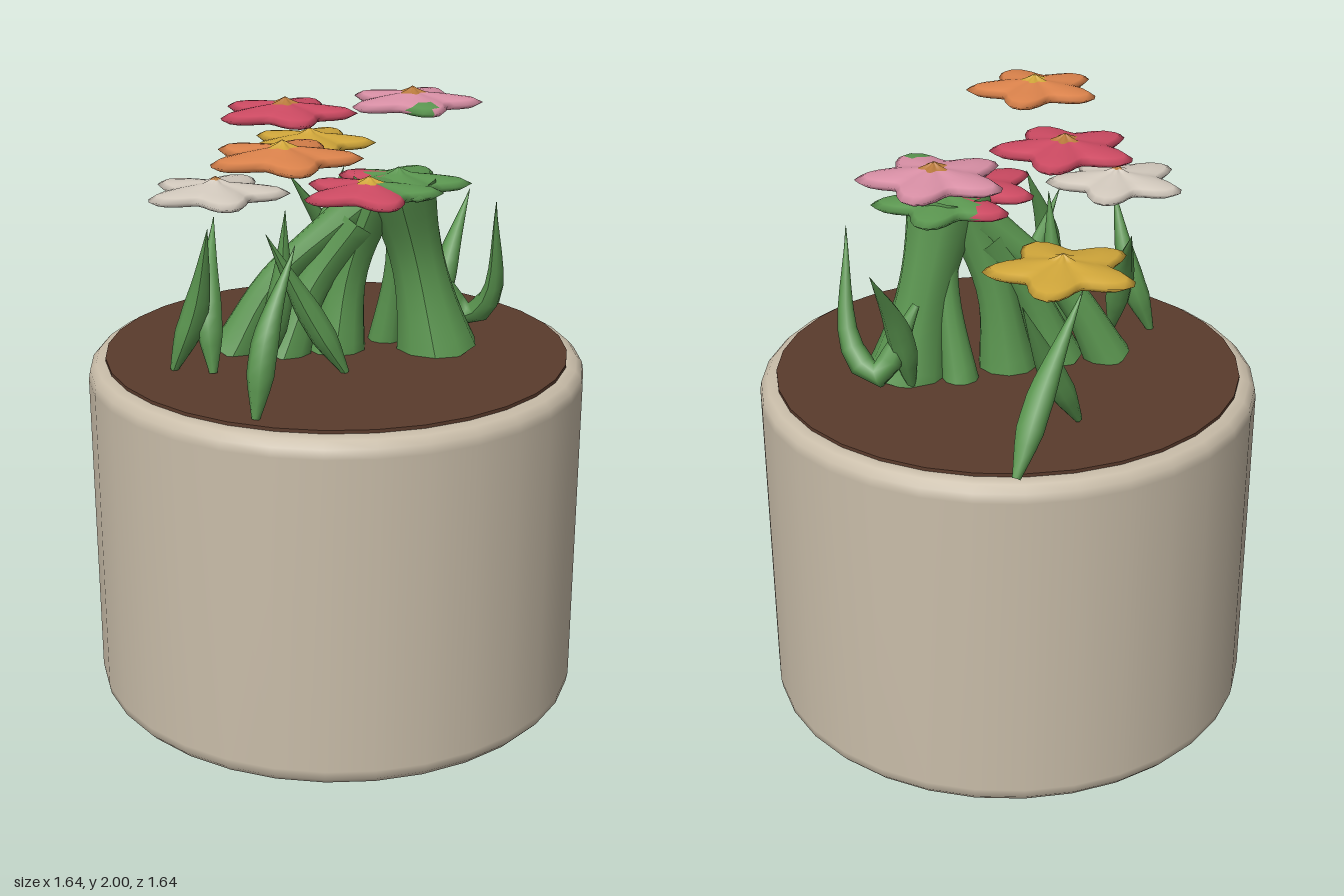
import * as THREE from 'three';

const mat = (name, color) => {
  const m = new THREE.MeshStandardMaterial({ color });
  m.name = name;
  return m;
};
const M = {
  cream: mat('pot cream', 0xc9bda9), soil: mat('soil brown', 0x5a3b2c),
  green: mat('leaf green', 0x5b9650), yellow: mat('petal yellow', 0xd0a63a),
  orange: mat('petal orange', 0xda824b), red: mat('petal red', 0xcc4a62),
  pink: mat('petal pink', 0xd88fa5), white: mat('petal white', 0xd2c9bd),
  ochre: mat('centre ochre', 0xb87a3c),
};

function mesh(name, geometry, material) {
  const m = new THREE.Mesh(geometry, material);
  m.name = name;
  return m;
}

// Tube along a curve whose thickness follows profile(t)
function taperedTube(points, radius, profile, segments = 12, sides = 8) {
  const curve = new THREE.CatmullRomCurve3(points.map(p => new THREE.Vector3(...p)));
  const geo = new THREE.TubeGeometry(curve, segments, radius, sides);
  const pos = geo.attributes.position, v = new THREE.Vector3();
  for (let i = 0; i <= segments; i++) {
    const c = curve.getPointAt(i / segments), s = profile(i / segments);
    for (let j = 0; j <= sides; j++) {
      const k = i * (sides + 1) + j;
      v.fromBufferAttribute(pos, k).sub(c).multiplyScalar(s).add(c);
      pos.setXYZ(k, v.x, v.y, v.z);
    }
  }
  geo.computeVertexNormals();
  return geo;
}

// Five-petal domed flower; paint(x, z, inCentre) picks the material of each face
const RINGS = [[0, 0.068], [0.08, 0.058], [0.2, 0.047], [0.6, 0.037], [0.88, 0.028], [1, 0.015], [0.88, 0], [0, 0]];
function flower(name, x, y, z, paint, centreRings = 2) {
  const n = 40, pos = [], buckets = new Map();
  for (const [s, h] of RINGS) {
    for (let j = 0; j < n; j++) {
      const a = j / n * Math.PI * 2;
      const r = s * (0.19 + 0.045 * Math.cos(5 * a));
      pos.push(r * Math.cos(a), h, r * Math.sin(a));
    }
  }
  const addFace = (ring, ...ids) => {
    const mid = k => (pos[ids[0] * 3 + k] + pos[ids[1] * 3 + k] + pos[ids[2] * 3 + k]) / 3;
    const m = paint(x + mid(0), z + mid(2), ring < centreRings);
    if (!buckets.has(m)) buckets.set(m, []);
    buckets.get(m).push(...ids);
  };
  for (let i = 0; i < RINGS.length - 1; i++) {
    for (let j = 0; j < n; j++) {
      const k = (j + 1) % n, a = i * n, b = a + n;
      if (i > 0) addFace(i, a + j, a + k, b + k);
      if (i < RINGS.length - 2) addFace(i, a + j, b + k, b + j);
    }
  }
  const geo = new THREE.BufferGeometry(), index = [], materials = [];
  geo.setAttribute('position', new THREE.Float32BufferAttribute(pos, 3));
  for (const [m, ids] of buckets) {
    geo.addGroup(index.length, ids.length, materials.length);
    index.push(...ids);
    materials.push(m);
  }
  geo.setIndex(index);
  geo.computeVertexNormals();
  const f = mesh(name, geo, materials);
  f.position.set(x, y, z);
  return f;
}

export function createModel() {
  const group = new THREE.Group();

  // Pot with rounded lower and upper edges
  const profile = [[0, 0], [0.77, 0], [0.795, 0.008], [0.815, 0.03], [0.82, 0.06],
    [0.82, 1.11], [0.815, 1.14], [0.795, 1.162], [0.765, 1.17], [0, 1.17]];
  group.add(mesh('pot', new THREE.LatheGeometry(profile.map(p => new THREE.Vector2(...p)), 32), M.cream));

  const soil = mesh('soil', new THREE.CylinderGeometry(0.763, 0.763, 0.03, 32), M.soil);
  soil.position.y = 1.166;
  group.add(soil);

  // Flower heads, in a low and a high tier
  const plain = (petal, centre) => (x, z, inCentre) => inCentre ? centre : petal;
  const half = (x, z) => x < 0.11 + Math.max(0, z - 0.15) * 0.9 ? M.red : M.green;
  const heads = [
    ['yellowFlower', -0.12, 1.73, -0.58, plain(M.yellow, M.yellow)],
    ['whiteFlower', -0.37, 1.73, 0.18, plain(M.white, M.ochre), 1],
    ['orangeFlower', -0.13, 1.93, 0.57, plain(M.orange, M.yellow)],
    ['redFlower', -0.17, 1.93, -0.09, plain(M.red, M.ochre)],
    ['pinkFlower', 0.24, 1.926, -0.32, (x, z, c) =>
      c ? M.ochre : Math.hypot(x - 0.27, z + 0.14) < 0.045 ? M.green : M.pink],
    ['lowRedFlower', 0.11, 1.73, 0.155, (x, z, c) => c ? M.yellow : half(x, z)],
    ['lowGreenFlower', 0.2, 1.727, 0.01, half],
  ];
  for (const h of heads) group.add(flower(...h));

  // Pointed leaves: base, optional bends, tip
  const leaves = [
    [[0.03, 1.19, -0.81], [-0.05, 1.38, -0.67], [-0.19, 1.65, -0.5]],
    [[-0.19, 1.19, -0.44], [-0.1, 1.38, -0.5], [0, 1.65, -0.62]],
    [[-0.21, 1.18, 0.68], [-0.18, 1.42, 0.62], [-0.1, 1.67, 0.52]],
    [[0.04, 1.18, 0.25], [-0.08, 1.4, 0.28], [-0.2, 1.66, 0.36]],
    [[-0.51, 1.18, 0.25], [-0.43, 1.4, 0.26], [-0.38, 1.67, 0.34]],
    [[-0.38, 1.18, 0.28], [-0.4, 1.4, 0.2], [-0.4, 1.62, 0]],
    [[-0.22, 1.18, 0.2], [-0.17, 1.42, 0.2], [-0.15, 1.7, 0.22]],
    [[0.32, 1.18, -0.15], [0.36, 1.4, -0.2], [0.44, 1.64, -0.34]],
    [[0.3, 1.46, -0.14], [0.43, 1.24, -0.19], [0.51, 1.32, -0.13], [0.515, 1.68, 0]],
  ];
  const blade = t => Math.max(0.02, Math.min(1, 0.3 + t * 3, (1 - t) * 1.8));
  for (const p of leaves) group.add(mesh('leaf', taperedTube(p, 0.042, blade), M.green));

  // Thick branching stems, wide at the soil and flared under the low flowers
  const stems = [
    [[[0, 1.17, 0], [0.04, 1.45, 0], [0.14, 1.75, 0.03]], 0.1],
    [[[0.33, 1.17, -0.03], [0.26, 1.5, -0.02], [0.2, 1.75, 0.03]], 0.14],
    [[[0.16, 1.17, -0.1], [0.2, 1.5, -0.04], [0.19, 1.75, 0.02]], 0.06],
    [[[-0.34, 1.17, 0.04], [-0.2, 1.42, 0.03], [0.09, 1.68, 0.02]], 0.08],
    [[[-0.17, 1.17, 0.05], [-0.08, 1.4, 0.03], [0.07, 1.62, 0.02]], 0.09],
  ];
  const flare = t => 1 - 0.3 * Math.sin(Math.PI * t) - 0.1 * t;
  for (const [p, r] of stems) group.add(mesh('stem', taperedTube(p, r, flare, 12, 10), M.green));

  return group;
}
